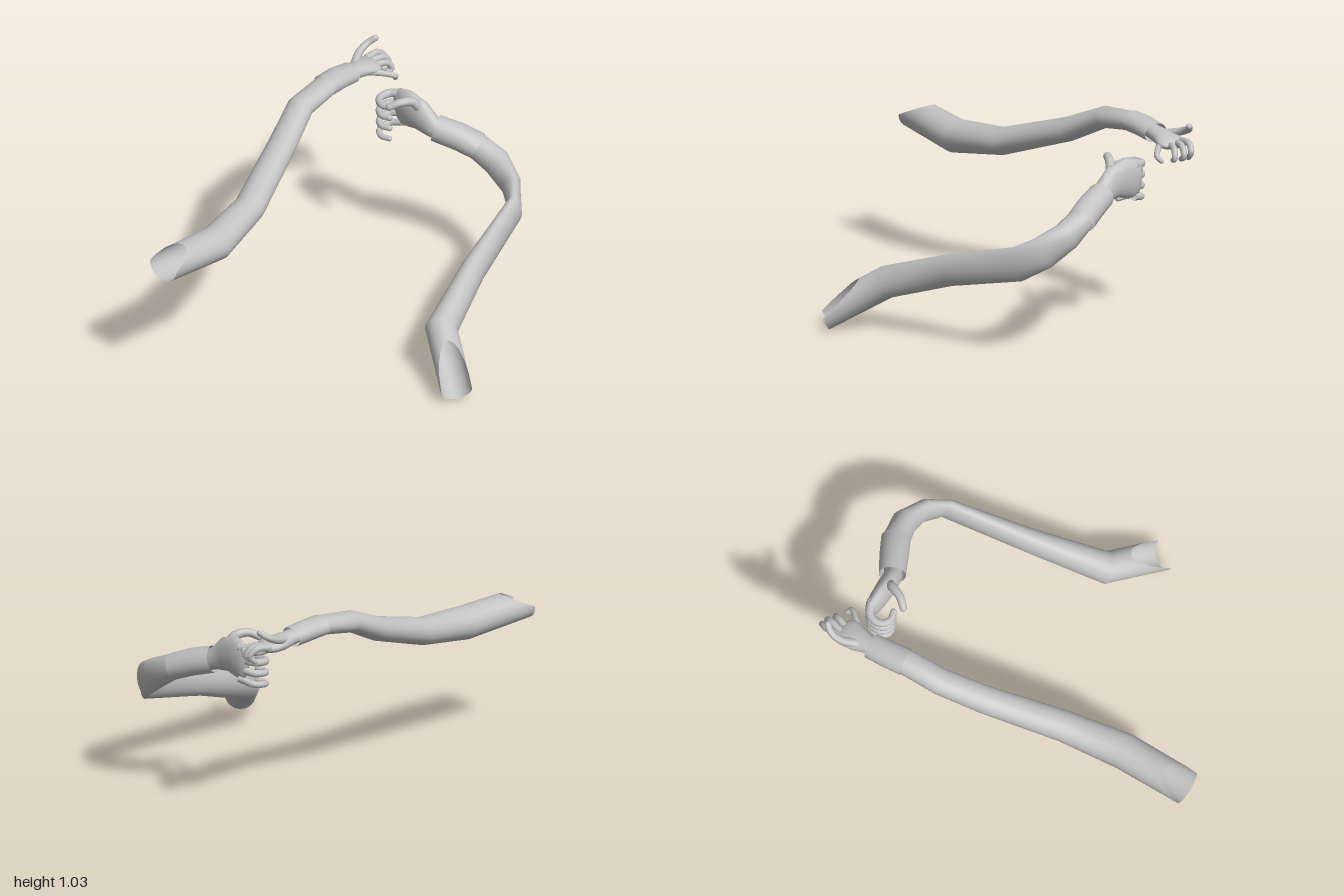
import * as THREE from 'three';

const grey = new THREE.MeshStandardMaterial({ color: 0xc2c2c2, side: THREE.DoubleSide });
grey.name = 'plainGrey';

// Skin through elliptical rings: [x, y, z, halfWidth, halfHeight].
// openCut slides the top of the first ring forward, closed rounds off the last ring.
function loft(name, rings, { openCut = 0, closed = false, sides = 20 } = {}) {
  const centres = rings.map((r) => new THREE.Vector3(r[0], r[1], r[2]));
  const positions = [];
  const index = [];
  const worldUp = new THREE.Vector3(0, 1, 0);
  const last = rings.length - 1;
  rings.forEach(([, , , halfWidth, halfHeight], i) => {
    const t = centres[Math.min(i + 1, last)].clone().sub(centres[Math.max(i - 1, 0)]).normalize();
    const side = new THREE.Vector3().crossVectors(t, worldUp).normalize();
    const up = new THREE.Vector3().crossVectors(side, t);
    for (let j = 0; j < sides; j++) {
      const a = (j / sides) * Math.PI * 2;
      const p = centres[i].clone()
        .addScaledVector(side, halfWidth * Math.cos(a))
        .addScaledVector(up, halfHeight * Math.sin(a));
      if (i === 0) p.addScaledVector(t, openCut * Math.max(0, Math.sin(a)));
      positions.push(p.x, p.y, p.z);
    }
  });
  for (let i = 0; i < last; i++) {
    for (let j = 0; j < sides; j++) {
      const k = (j + 1) % sides;
      const a = i * sides + j, b = i * sides + k;
      index.push(a, a + sides, b, b, a + sides, b + sides);
    }
  }
  if (closed) {
    const c = centres[last];
    const tip = positions.length / 3;
    positions.push(c.x, c.y, c.z);
    for (let j = 0; j < sides; j++) index.push(last * sides + j, tip, last * sides + (j + 1) % sides);
  }
  const g = new THREE.BufferGeometry();
  g.setAttribute('position', new THREE.Float32BufferAttribute(positions, 3));
  g.setIndex(index);
  g.computeVertexNormals();
  const mesh = new THREE.Mesh(g, grey);
  mesh.name = name;
  return mesh;
}

// Tapered tube with a rounded tip
function finger(name, points, radius) {
  const group = new THREE.Group();
  group.name = name;
  const curve = new THREE.CatmullRomCurve3(points.map((p) => new THREE.Vector3(...p)));
  const steps = 14, sides = 10, tipScale = 0.72;
  const g = new THREE.TubeGeometry(curve, steps, radius, sides);
  const pos = g.attributes.position;
  const v = new THREE.Vector3();
  for (let i = 0; i <= steps; i++) {
    const c = curve.getPointAt(i / steps);
    const s = 1 - (1 - tipScale) * (i / steps);
    for (let j = 0; j <= sides; j++) {
      const n = i * (sides + 1) + j;
      v.fromBufferAttribute(pos, n).sub(c).multiplyScalar(s).add(c);
      pos.setXYZ(n, v.x, v.y, v.z);
    }
  }
  const tip = new THREE.Mesh(new THREE.SphereGeometry(radius * tipScale, 10, 8), grey);
  tip.position.copy(curve.getPointAt(1));
  tip.name = 'fingertip';
  const shaft = new THREE.Mesh(g, grey);
  shaft.name = 'fingerShaft';
  group.add(shaft, tip);
  return group;
}

function rightArm() {
  const arm = new THREE.Group();
  arm.name = 'rightArm';
  arm.add(
    loft('sleeve', [
      [-0.95, 0.68, 0.29, 0.088, 0.076],
      [-0.63, 0.65, 0.12, 0.09, 0.083],
      [-0.39, 0.69, -0.08, 0.078, 0.068],
      [-0.13, 0.82, -0.37, 0.07, 0.06],
      [0.02, 0.922, -0.53, 0.067, 0.053],
      [0.19, 0.95, -0.64, 0.064, 0.046],
    ], { openCut: 0.13 }),
    loft('cuff', [
      [0.18, 0.95, -0.635, 0.069, 0.049],
      [0.26, 0.945, -0.69, 0.068, 0.05],
      [0.34, 0.932, -0.738, 0.064, 0.048],
    ]),
    loft('palm', [
      [0.29, 0.94, -0.71, 0.042, 0.036],
      [0.35, 0.93, -0.743, 0.045, 0.036],
      [0.40, 0.925, -0.775, 0.062, 0.038],
      [0.45, 0.918, -0.797, 0.073, 0.033],
      [0.485, 0.914, -0.806, 0.066, 0.024],
      [0.50, 0.912, -0.81, 0.045, 0.01],
    ], { closed: true }),
    finger('thumb', [[0.38, 0.94, -0.79], [0.43, 0.965, -0.86], [0.48, 0.99, -0.885], [0.515, 1.012, -0.88]], 0.022),
    finger('indexFinger', [[0.46, 0.925, -0.85], [0.53, 0.93, -0.88], [0.565, 0.895, -0.885], [0.54, 0.865, -0.875]], 0.019),
    finger('middleFinger', [[0.47, 0.92, -0.825], [0.55, 0.92, -0.845], [0.575, 0.88, -0.85], [0.545, 0.86, -0.84]], 0.019),
    finger('ringFinger', [[0.47, 0.915, -0.79], [0.55, 0.91, -0.805], [0.575, 0.87, -0.805], [0.545, 0.855, -0.80]], 0.018),
    finger('littleFinger', [[0.44, 0.91, -0.75], [0.51, 0.90, -0.73], [0.565, 0.88, -0.72], [0.57, 0.86, -0.74]], 0.017),
  );
  return arm;
}

function leftArm() {
  const arm = new THREE.Group();
  arm.name = 'leftArm';
  arm.add(
    loft('sleeve', [
      [0.345, 0.07, 0.88, 0.077, 0.077],
      [0.37, 0.235, 0.57, 0.08, 0.08],
      [0.62, 0.36, 0.30, 0.058, 0.078],
      [0.93, 0.475, 0.0, 0.038, 0.086],
      [0.955, 0.535, -0.12, 0.045, 0.085],
      [0.92, 0.605, -0.24, 0.064, 0.075],
      [0.845, 0.665, -0.322, 0.068, 0.062],
    ], { openCut: 0.24 }),
    loft('cuff', [
      [0.855, 0.66, -0.318, 0.072, 0.065],
      [0.77, 0.7, -0.375, 0.071, 0.067],
      [0.675, 0.73, -0.437, 0.066, 0.066],
    ]),
    loft('palm', [
      [0.73, 0.71, -0.40, 0.045, 0.05],
      [0.665, 0.735, -0.44, 0.045, 0.055],
      [0.62, 0.775, -0.50, 0.047, 0.085],
      [0.585, 0.785, -0.56, 0.042, 0.1],
      [0.56, 0.775, -0.61, 0.036, 0.096],
      [0.545, 0.77, -0.64, 0.018, 0.075],
    ], { closed: true }),
    finger('thumb', [[0.62, 0.81, -0.49], [0.575, 0.865, -0.49], [0.51, 0.875, -0.485], [0.46, 0.855, -0.495]], 0.026),
  );
  // Four fingers stacked in height, each curled back towards the palm
  ['indexFinger', 'middleFinger', 'ringFinger', 'littleFinger'].forEach((name, i) => {
    const y = 0.845 - i * 0.053;
    const dy = -0.01 - i * 0.003;
    arm.add(finger(name, [
      [0.575, y, -0.605],
      [0.51, y + dy, -0.65],
      [0.452, y + dy * 1.5, -0.625],
      [0.445, y + dy * 2, -0.575],
      [0.475, y + dy * 2, -0.54],
    ], 0.023 - i * 0.0015));
  });
  return arm;
}

export function createModel() {
  const model = new THREE.Group();
  model.name = 'reachingArms';
  model.add(rightArm(), leftArm());
  return model;
}
